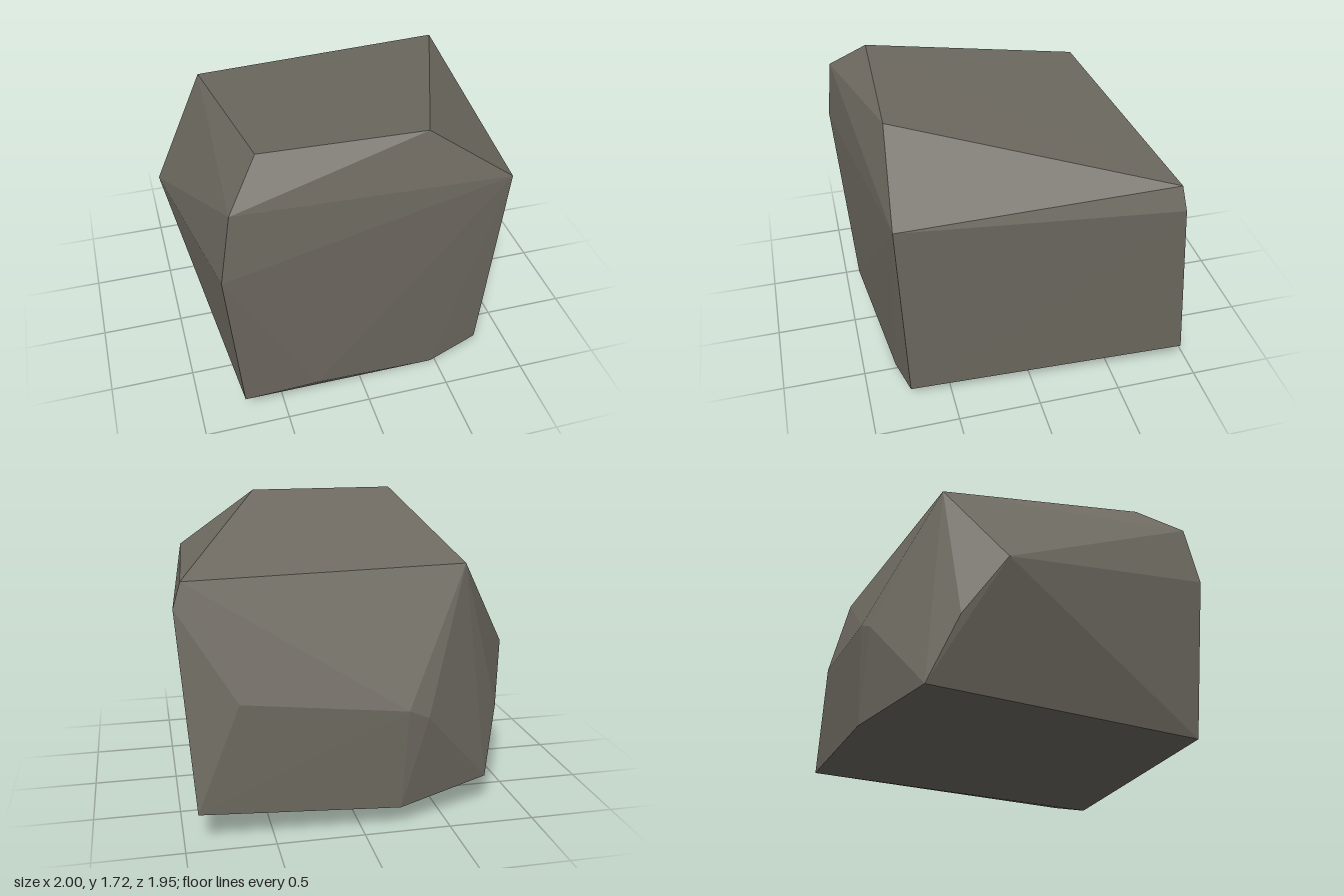
import * as THREE from 'three';
import { ConvexGeometry } from 'three/addons/geometries/ConvexGeometry.js';

// Corners of the faceted boulder, grouped by region: [x, y, z]
const corners = {
  top: [[-0.57, 1.72, 0.71], [0.37, 1.72, 0.74], [0.955, 1.45, -0.77], [-0.66, 1.455, -0.65]],
  frontRim: [[-0.76, 1.52, 0.93], [-0.83, 1.12, 0.97], [0.87, 1.36, 0.79]],
  sides: [[1.0, 1.31, -0.79], [-1.0, 0.9, -0.38], [-0.895, 0.56, -0.61]],
  back: [[0.68, 0.81, -0.95], [-0.25, 0.71, -0.975], [-0.37, 0.655, -0.955]],
  base: [
    [0.92, 0.18, -0.925], [0.78, 0.09, 0.75], [0.47, 0, 0.8], [-0.3, 0.16, 0.92],
    [-0.74, 0.13, 0.91], [-0.79, 0.18, -0.76], [-0.22, 0.12, -0.945],
  ],
};

export function createModel() {
  const group = new THREE.Group();
  group.name = 'rock';

  const stone = new THREE.MeshStandardMaterial({ color: 0x6f6b62 });
  stone.name = 'stone grey';

  // The hull keeps one flat normal per facet
  const points = Object.values(corners).flat().map((p) => new THREE.Vector3(...p));
  const boulder = new THREE.Mesh(new ConvexGeometry(points), stone);
  boulder.name = 'boulder';
  group.add(boulder);

  return group;
}
